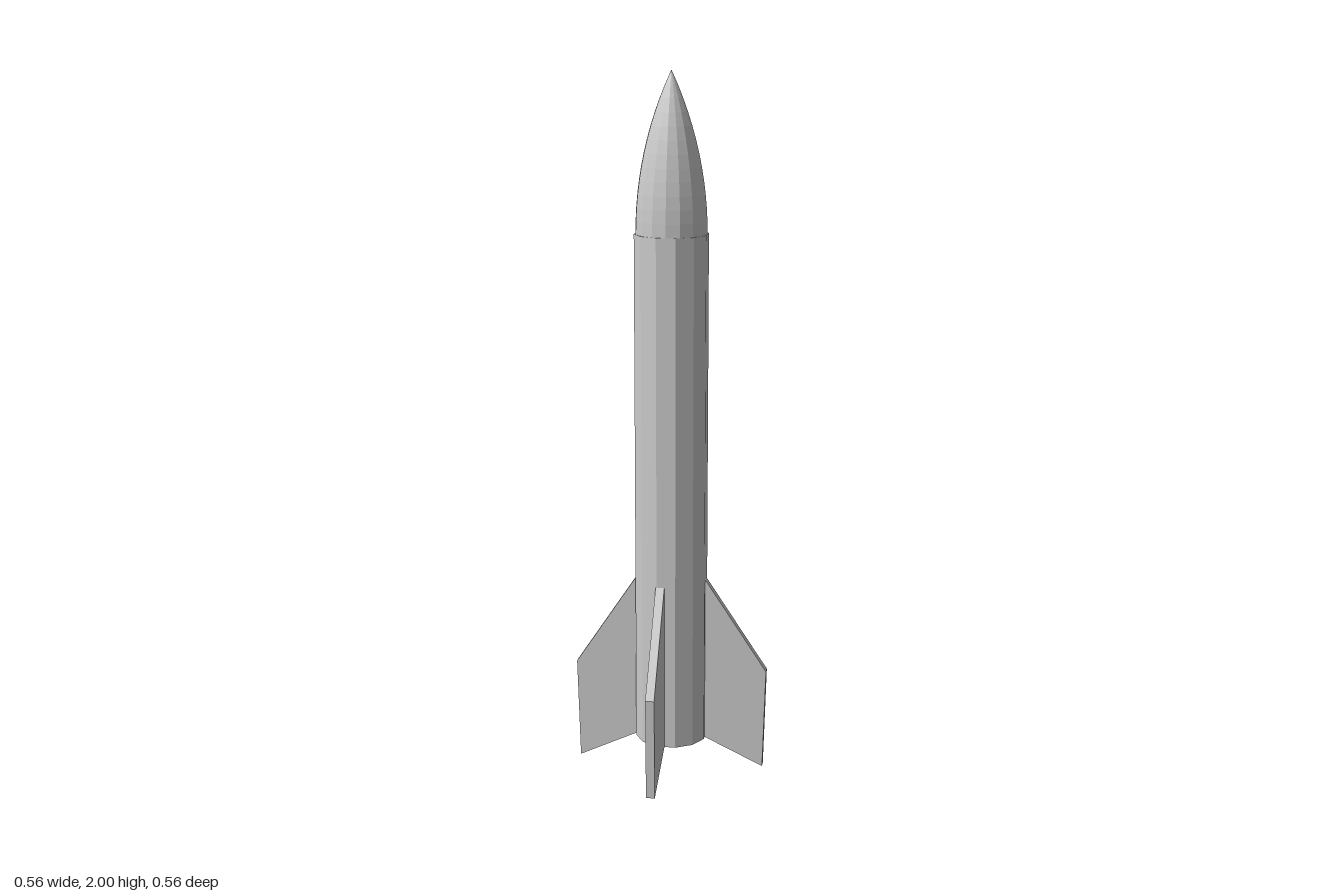
import * as THREE from 'three';

const material = new THREE.MeshStandardMaterial({ color: 0xcccccc, flatShading: true });

function add(parent, name, geometry) {
  const mesh = new THREE.Mesh(geometry, material);
  mesh.name = name;
  parent.add(mesh);
  return mesh;
}

export function createModel() {
  const rocket = new THREE.Group();
  rocket.name = 'rocket';

  // Twelve-sided body tube with flats facing the axes
  const bottom = 0.085, shoulder = 1.56, top = 2;
  const bodyRadius = 0.1 / Math.cos(Math.PI / 12);
  const body = add(rocket, 'body',
    new THREE.CylinderGeometry(bodyRadius, bodyRadius, shoulder - bottom, 12));
  body.position.y = (bottom + shoulder) / 2;
  body.rotation.y = Math.PI / 12;

  // Pointed nose following a circular-arc ogive
  const radius = 0.1, length = top - shoulder;
  const arc = (radius * radius + length * length) / (2 * radius);
  const profile = [];
  for (let i = 0; i <= 12; i++) {
    const h = (length * i) / 12;
    const r = Math.sqrt(arc * arc - h * h) - (arc - radius);
    profile.push(new THREE.Vector2(i === 12 ? 0 : r, shoulder + h));
  }
  add(rocket, 'noseCone', new THREE.LatheGeometry(profile, 16));

  // Four swept fins; the front and back pair sits slightly to one side
  const thickness = 0.025;
  const outline = new THREE.Shape([
    [0.08, 0.095], [0.27, 0.005], [0.278, 0.3], [0.1, 0.57], [0.08, 0.57],
  ].map(([x, y]) => new THREE.Vector2(x, y)));
  const finGeometry = new THREE.ExtrudeGeometry(outline, { depth: thickness, bevelEnabled: false });
  finGeometry.translate(0, 0, -thickness / 2);
  ['leftFin', 'backFin', 'rightFin', 'frontFin'].forEach((name, i) => {
    const fin = add(rocket, name, finGeometry);
    fin.rotation.y = (i * Math.PI) / 2;
    if (i % 2) fin.position.x = -0.017;
  });

  return rocket;
}
